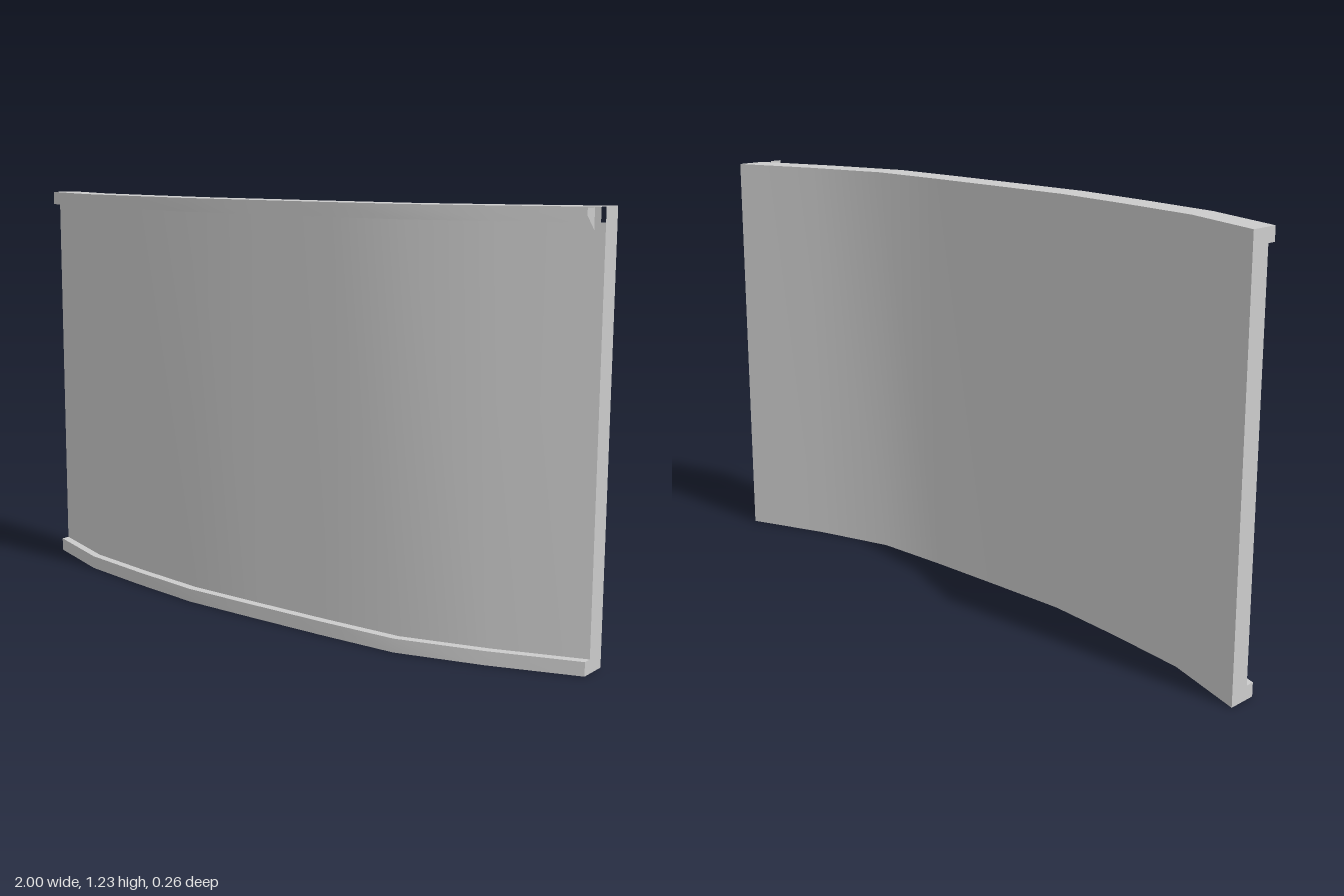
import * as THREE from 'three';

// Back edge of the curved panel, seen from above: [x, z]
const path = [[-1, -0.13], [-0.75, -0.037], [-0.5, 0.004], [-0.25, 0.037], [0, 0.038],
  [0.25, 0.037], [0.5, 0.03], [0.75, -0.04], [1, -0.13]];
const H = 1.226, LIP = 0.04, WEB = 0.063, DEPTH = 0.09;

// Channel cross-section: [depth in front of the back edge, height]
const profile = [[0, 0], [DEPTH, 0], [DEPTH, LIP], [WEB, LIP],
  [WEB, H - LIP], [DEPTH, H - LIP], [DEPTH, H], [0, H]];

function geometry(positions, index) {
  const g = new THREE.BufferGeometry();
  g.setAttribute('position', new THREE.Float32BufferAttribute(positions, 3));
  g.setIndex(index);
  g.computeVertexNormals();
  return g;
}

// One face of the channel, smooth along the curve
function strip(a, b) {
  const pos = [], idx = [];
  path.forEach(([x, z], i) => {
    pos.push(x, a[1], z + a[0], x, b[1], z + b[0]);
    if (i) {
      const p = 2 * i - 2;
      idx.push(p, p + 2, p + 1, p + 1, p + 2, p + 3);
    }
  });
  return geometry(pos, idx);
}

// Flat end rectangle facing out along x
function endCap(side, d0, d1, y0, y1) {
  const x = side, z = -0.13;
  const pos = [x, y0, z + d0, x, y1, z + d0, x, y1, z + d1, x, y0, z + d1];
  return geometry(pos, side > 0 ? [0, 1, 2, 0, 2, 3] : [0, 2, 1, 0, 3, 2]);
}

export function createModel() {
  const group = new THREE.Group();
  const material = new THREE.MeshStandardMaterial({ color: 0xcccccc });
  const add = (name, geo, mat = material) => {
    const mesh = new THREE.Mesh(geo, mat);
    mesh.name = name;
    group.add(mesh);
  };

  // Curved panel with a lip along the bottom and top
  const names = ['underside', 'bottomLipFront', 'bottomLipTop', 'panelFront',
    'topLipUnderside', 'topLipFront', 'topSide', 'panelBack'];
  profile.forEach((p, i) => add(names[i], strip(p, profile[(i + 1) % profile.length])));

  // Ends; the top lip stays open on the left end
  for (const side of [-1, 1]) {
    const label = side > 0 ? 'left' : 'right';
    add(label + 'PanelEnd', endCap(side, 0, WEB, 0, H));
    add(label + 'BottomLipEnd', endCap(side, WEB, DEPTH, 0, LIP));
    if (side < 0) add(label + 'TopLipEnd', endCap(side, WEB, DEPTH, H - LIP, H));
  }

  // Small loose chip in front of the open lip end
  const chip = geometry([1, H, -0.005, 1, H, 0.033, 1, 1.207, 0.033, 1, 1.17, -0.005],
    [0, 1, 2, 0, 2, 3]);
  add('looseChip', chip, new THREE.MeshStandardMaterial({ color: 0xcccccc, side: THREE.DoubleSide }));

  return group;
}
